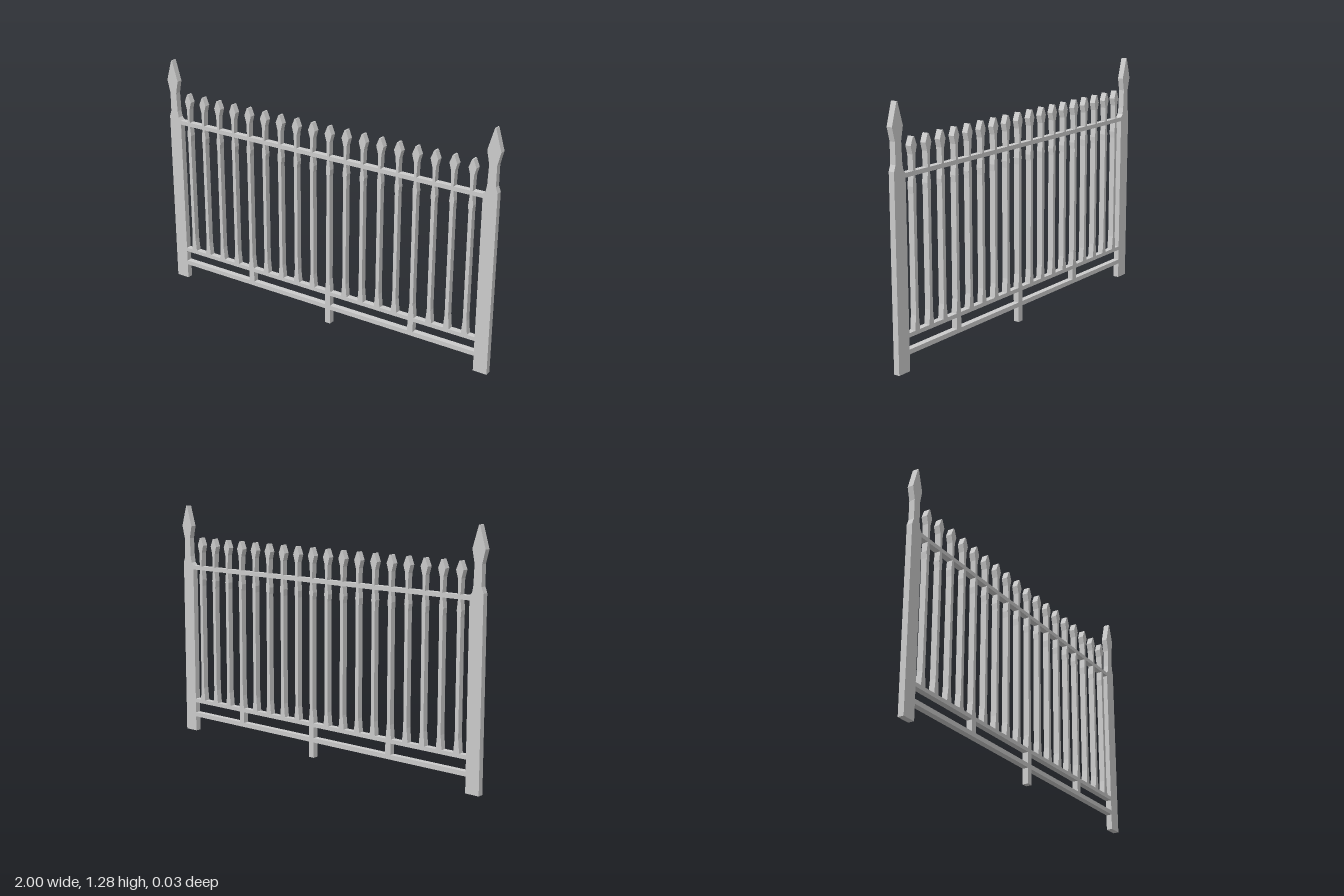
import * as THREE from 'three';

const DEPTH = 0.032;
const material = new THREE.MeshStandardMaterial({ color: 0xcccccc, flatShading: true });

// Flat plate cut from a closed outline, centred on z = 0
function plate(points) {
  const shape = new THREE.Shape(points.map(([x, y]) => new THREE.Vector2(x, y)));
  const geometry = new THREE.ExtrudeGeometry(shape, { depth: DEPTH, bevelEnabled: false });
  return geometry.translate(0, 0, -DEPTH / 2);
}

// Symmetric outline from [halfWidth, y] pairs, bottom to top
function symmetric(profile) {
  const left = profile.map(([w, y]) => [-w, y]).reverse();
  return plate([...profile, ...left]);
}

export function createModel() {
  const model = new THREE.Group();
  const add = (parent, name, geometry, x = 0, y = 0) => {
    const mesh = new THREE.Mesh(geometry, material);
    mesh.name = name;
    mesh.position.set(x, y, 0);
    parent.add(mesh);
  };

  // End posts: stepped body, neck and spear head, mirrored left and right
  const postOutline = [
    [0.918, 0], [0.994, 0], [0.994, 0.965], [0.983, 0.995], [0.983, 1.1],
    [1.0, 1.168], [0.967, 1.28], [0.961, 1.28], [0.928, 1.168],
    [0.942, 1.1], [0.938, 1.0], [0.932, 0.965], [0.918, 0.949],
  ];
  add(model, 'leftPost', plate(postOutline));
  add(model, 'rightPost', plate(postOutline.map(([x, y]) => [-x, y]).reverse()));

  // Horizontal rails between the posts
  const rails = [['topRail', 0.927, 0.949], ['middleRail', 0.166, 0.187], ['bottomRail', 0.083, 0.107]];
  for (const [name, low, high] of rails) {
    add(model, name, new THREE.BoxGeometry(1.836, high - low, DEPTH), 0, (low + high) / 2);
  }

  // Short struts under the middle rail, and the central foot
  for (const x of [-0.455, 0.553]) {
    add(model, 'strut', new THREE.BoxGeometry(0.032, 0.059, DEPTH), x, 0.1365);
  }
  add(model, 'strut', new THREE.BoxGeometry(0.032, 0.059, DEPTH), 0.048, 0.1365);
  add(model, 'centreFoot', new THREE.BoxGeometry(0.032, 0.083, DEPTH), 0.048, 0.0415);

  // Pickets: tapered shaft below the top rail, spear finial above it
  const shaft = symmetric([
    [0.017, 0.187], [0.015, 0.21], [0.01, 0.26], [0.01, 0.84], [0.013, 0.875], [0.007, 0.927],
  ]);
  const finial = symmetric([
    [0.007, 0.949], [0.01, 1.025], [0.021, 1.065], [0.004, 1.107],
  ]);
  for (let i = 0; i < 18; i++) {
    const picket = new THREE.Group();
    picket.name = 'picket';
    picket.position.x = -0.862 + i * 0.1012;
    add(picket, 'picketShaft', shaft);
    add(picket, 'picketFinial', finial);
    model.add(picket);
  }
  return model;
}
